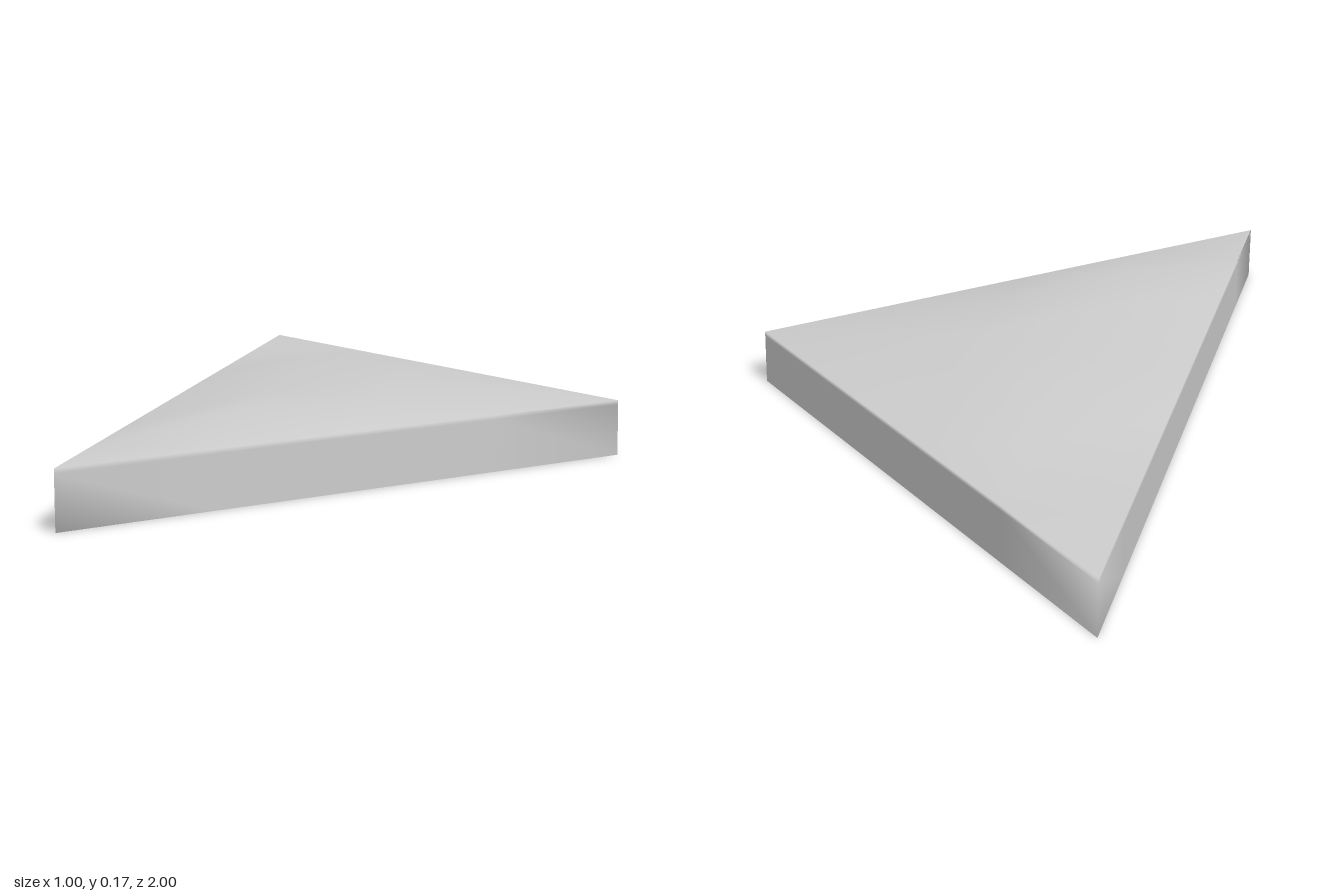
import * as THREE from 'three';

// Triangular slab: open underneath, straight walls, gently domed smooth top.
const STEP = 0.25;
const RIM = 0.125;

// Top heights by row (x = -0.5 ... 0.5), each listed from -z to +z
const HEIGHTS = [
  Array(9).fill(RIM),
  [RIM, 0.145, 0.175, 0.166, 0.166, 0.17, RIM],
  [RIM, 0.15, 0.167, 0.15, RIM],
  [RIM, 0.146, RIM],
  [RIM],
];

function slabGeometry() {
  const positions = [];
  const indices = [];
  const addVertex = (x, y, z) => positions.push(x, y, z) / 3 - 1;

  // Domed top on a square grid clipped to the triangle
  const rows = HEIGHTS.map((row, i) =>
    row.map((y, j) => addVertex(-0.5 + i * STEP, y, (j - 4 + i) * STEP)));
  const at = (i, k) => rows[i][k + 4 - i];
  for (let i = 0; i < 4; i++) {
    const n = 4 - i;
    for (let k = -n; k < n; k++) {
      if (k === -n) {
        indices.push(at(i, k), at(i, k + 1), at(i + 1, k + 1));
      } else {
        indices.push(at(i, k), at(i, k + 1), at(i + 1, k));
        if (k < n - 1) indices.push(at(i, k + 1), at(i + 1, k + 1), at(i + 1, k));
      }
    }
  }

  // Outline of the top: the long side, then the two slanted sides
  let ring = [...rows[0]];
  for (let i = 1; i <= 4; i++) ring.push(at(i, 4 - i));
  for (let i = 3; i >= 1; i--) ring.push(at(i, i - 4));

  // Walls: a narrow softened band under the rim, then straight down
  for (const y of [0.115, 0]) {
    const lower = ring.map((v) => addVertex(positions[v * 3], y, positions[v * 3 + 2]));
    ring.forEach((a, j) => {
      const next = (j + 1) % ring.length;
      indices.push(a, lower[j], lower[next], a, lower[next], ring[next]);
    });
    ring = lower;
  }

  const geometry = new THREE.BufferGeometry();
  geometry.setAttribute('position', new THREE.Float32BufferAttribute(positions, 3));
  geometry.setIndex(indices);
  geometry.computeVertexNormals();
  return geometry;
}

export function createModel() {
  const group = new THREE.Group();
  group.name = 'triangularSlab';
  const material = new THREE.MeshStandardMaterial({ color: 0xcccccc, side: THREE.DoubleSide });
  const slab = new THREE.Mesh(slabGeometry(), material);
  slab.name = 'domedSlab';
  group.add(slab);
  return group;
}
